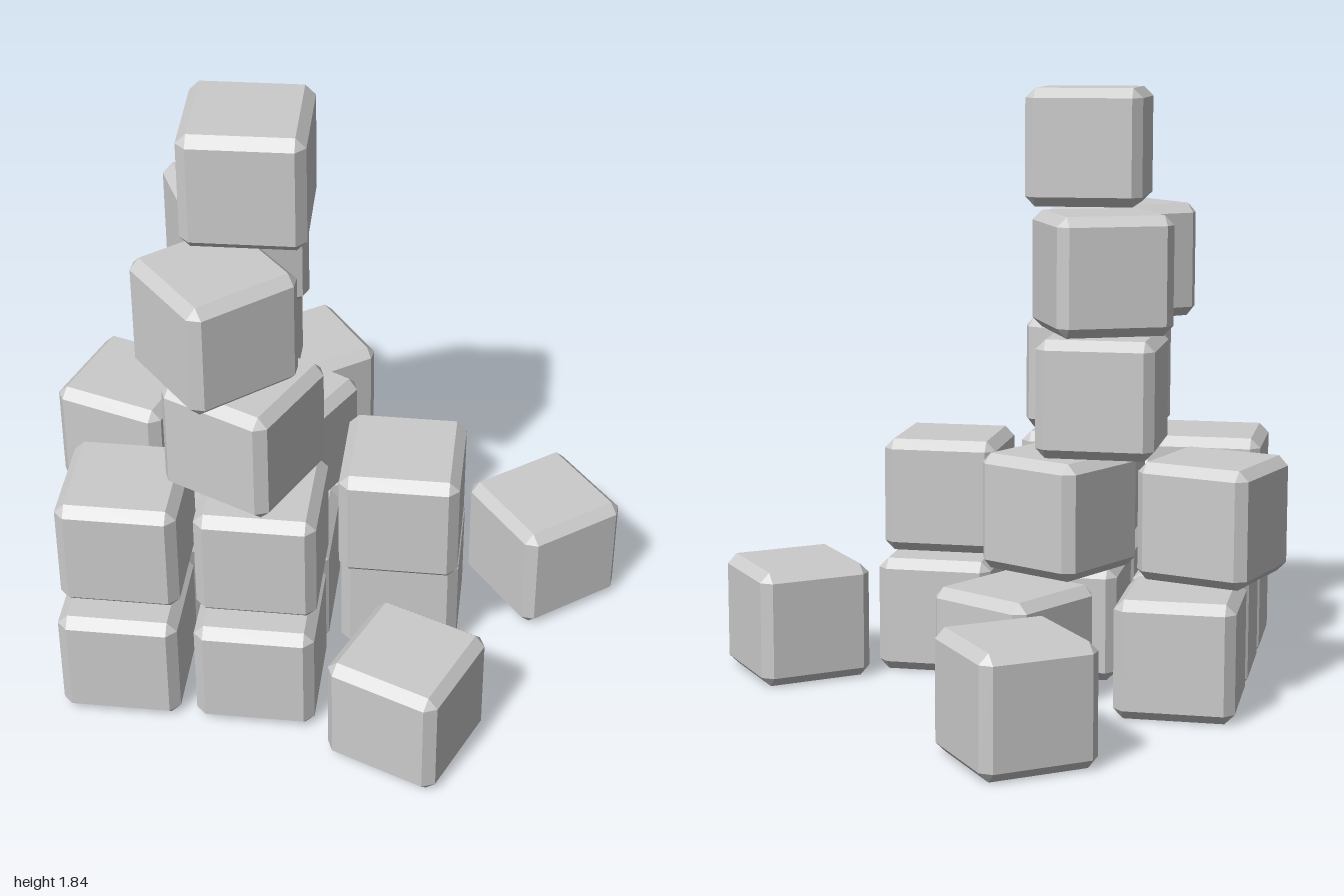
import * as THREE from 'three';
import { ConvexGeometry } from 'three/addons/geometries/ConvexGeometry.js';

const SIZE = 0.36;   // block edge length
const BEVEL = 0.03;  // flat chamfer
const PITCH = 0.369; // height from one layer to the next

// Cube with one flat chamfer on every edge and corner
function chamferedCube(size, bevel) {
  const h = size / 2, i = h - bevel, points = [];
  for (const sx of [-1, 1]) for (const sy of [-1, 1]) for (const sz of [-1, 1]) {
    points.push(
      new THREE.Vector3(sx * h, sy * i, sz * i),
      new THREE.Vector3(sx * i, sy * h, sz * i),
      new THREE.Vector3(sx * i, sy * i, sz * h));
  }
  return new ConvexGeometry(points);
}

// Blocks of each layer, bottom first: [x, z, turn in degrees]
const LAYERS = [
  [
    // straight base
    [-0.595, 0.585, 0], [-0.595, 0.21, 0], [-0.595, -0.175, 0],
    [-0.185, 0.585, 0], [-0.185, 0.21, 0], [0.215, 0.21, 0],
    // turned block at the back of the base
    [-0.097, -0.224, -30],
    // loose blocks on the ground
    [-0.21, -0.767, 36], [0.645, -0.005, 37.5], [0.272, 0.767, -23],
  ],
  [
    [-0.595, 0.515, 0], [-0.185, 0.515, 0], [0.215, 0.29, 0],
    [-0.667, 0, -18], [-0.19, 0.02, -28],
  ],
  [[-0.325, 0.005, 0], [-0.238, 0.47, -25]],
  [[-0.312, 0.473, 41], [-0.32, 0.012, 24.5]],
  [[-0.243, 0.24, 2]],
];

export function createModel() {
  const model = new THREE.Group();
  model.name = 'blockPile';
  const geometry = chamferedCube(SIZE, BEVEL);
  const material = new THREE.MeshStandardMaterial({ color: 0xcccccc, flatShading: true });

  LAYERS.forEach((blocks, level) => {
    const layer = new THREE.Group();
    layer.name = `layer${level + 1}`;
    layer.position.y = SIZE / 2 + level * PITCH;
    blocks.forEach(([x, z, turn], n) => {
      const block = new THREE.Mesh(geometry, material);
      block.name = `block${n + 1}`;
      block.position.set(x, 0, z);
      block.rotation.y = THREE.MathUtils.degToRad(turn);
      layer.add(block);
    });
    model.add(layer);
  });
  return model;
}
